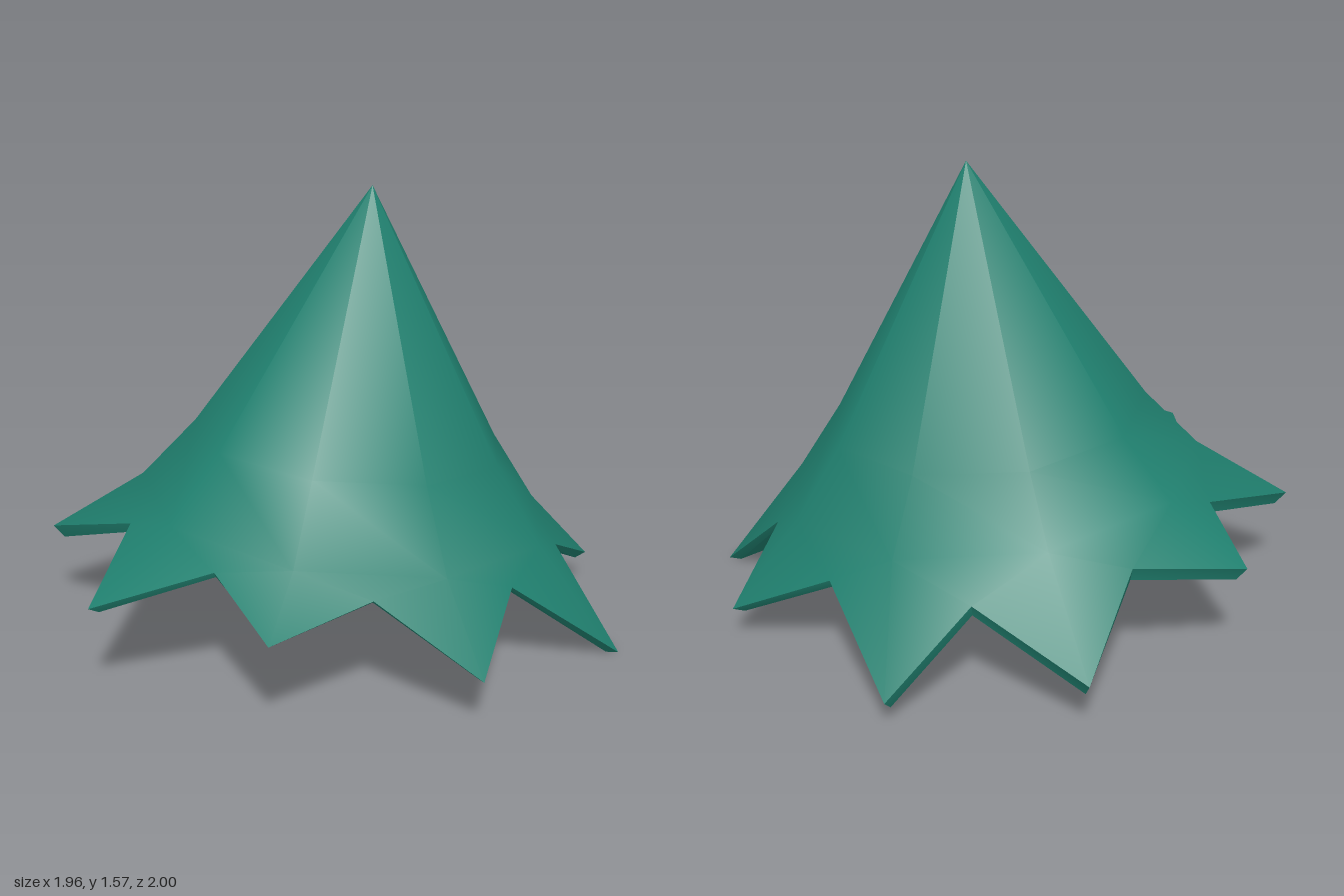
import * as THREE from 'three';
import { toCreasedNormals } from 'three/addons/utils/BufferGeometryUtils.js';

const V = (x, y, z) => new THREE.Vector3(x, y, z);

// Star rim of the tier: nine drooping tips with a notch after each one
const tips = [
  V(0.09, 0.34, 1.0), V(0.64, 0.33, 0.68), V(0.98, 0.175, 0.1),
  V(0.84, 0.004, -0.65), V(0.32, 0.115, -1.0), V(-0.46, 0.085, -1.0),
  V(-0.93, 0.17, -0.59), V(-0.98, 0.34, 0.1), V(-0.67, 0.315, 0.73),
];
const notches = [
  V(0.26, 0.43, 0.63), V(0.66, 0.385, 0.29), V(0.75, 0.33, -0.22),
  V(0.48, 0.28, -0.68), V(-0.02, 0.29, -0.85), V(-0.5, 0.31, -0.67),
  V(-0.76, 0.37, -0.21), V(-0.66, 0.41, 0.3), V(-0.26, 0.435, 0.64),
];
const apex = V(0.02, 1.565, -0.19);
const hollow = V(0.02, 0.46, -0.12);

// Regular nine-sided ring around the leaning axis, tilted back and sideways
function ring(center, radius, tiltX, tiltZ) {
  return tips.map((_, i) => {
    const a = (i / tips.length) * Math.PI * 2;
    const x = center.x + radius * Math.sin(a);
    const z = center.z + radius * Math.cos(a);
    return V(x, center.y + tiltX * x + tiltZ * z, z);
  });
}

// Lower edge of the rim, slightly inside the upper edge
function under(p, inset) {
  return V(p.x * (1 - inset), p.y - 0.025 + 0.025 * p.x, p.z * (1 - inset));
}

function build(triangles) {
  const geometry = new THREE.BufferGeometry().setFromPoints(triangles);
  geometry.computeVertexNormals();
  return toCreasedNormals(geometry, 0.8);
}

export function createModel() {
  const group = new THREE.Group();
  group.name = 'treeTier';
  const material = new THREE.MeshStandardMaterial({ color: 0x20806f });

  const shoulder = ring(V(0.005, 0.69, -0.11), 0.55, -0.03, 0.085);
  const skirt = ring(V(0.01, 0.46, -0.085), 0.725, -0.06, 0.085);
  const lowTips = tips.map((t) => under(t, 0.04));
  const lowNotches = notches.map((n) => under(n, 0.015));

  const top = [];
  const rim = [];
  const bottom = [];
  const n = tips.length;
  for (let i = 0; i < n; i++) {
    const j = (i + 1) % n;
    // Steep cone, flared skirt, then the pointed star edge
    top.push(apex, shoulder[i], shoulder[j]);
    top.push(shoulder[i], skirt[i], skirt[j], shoulder[i], skirt[j], shoulder[j]);
    top.push(skirt[i], tips[i], notches[i]);
    top.push(skirt[i], notches[i], skirt[j]);
    top.push(skirt[j], notches[i], tips[j]);
    // Thin edge
    rim.push(tips[i], lowTips[i], lowNotches[i], tips[i], lowNotches[i], notches[i]);
    rim.push(notches[i], lowNotches[i], lowTips[j], notches[i], lowTips[j], tips[j]);
    // Hollow underside meeting at a raised centre
    bottom.push(hollow, lowNotches[i], lowTips[i], hollow, lowTips[j], lowNotches[i]);
  }

  const parts = { foliageTop: top, foliageRim: rim, foliageUnderside: bottom };
  for (const [name, triangles] of Object.entries(parts)) {
    const mesh = new THREE.Mesh(build(triangles), material);
    mesh.name = name;
    group.add(mesh);
  }
  return group;
}
